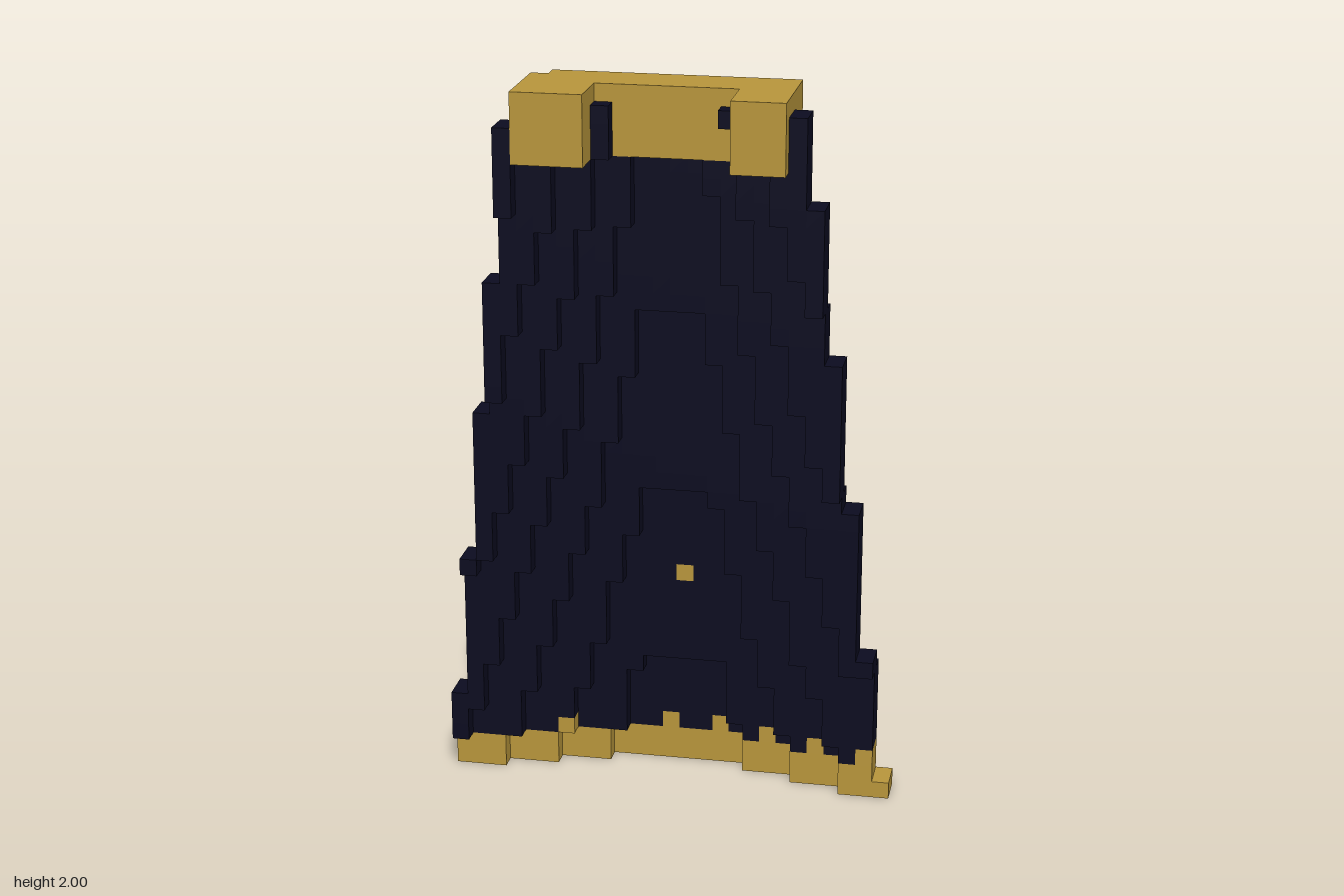
import * as THREE from 'three';

const V = 2 / 42; // size of one block

export function createModel() {
  const navy = new THREE.MeshStandardMaterial({ color: 0x0c0c20 });
  navy.name = 'navy cloth';
  const gold = new THREE.MeshStandardMaterial({ color: 0xb8963c });
  gold.name = 'gold trim';

  // Block grid: "x,y,z" -> part name
  const cells = new Map();
  const put = (x, y, z, part) => cells.set(`${x},${y},${z}`, part);
  const fill = (x0, x1, y0, y1, z0, z1, part) => {
    for (let x = x0; x < x1; x++)
      for (let y = y0; y < y1; y++)
        for (let z = z0; z < z1; z++) put(x, y, z, part);
  };

  // Back layer of the cloth: bowed across its width, leaning forward with height
  const layer = (x, y) => {
    const half = 13 - y / 7.8;
    const across = (Math.abs(x + 0.35) * 13) / half;
    const bow = Math.max(0, (across - 2.25) / 3);
    return Math.floor(Math.min(bow, x < 0 ? 3.46 : 2.95) + (y + 4) / 11);
  };

  // Cape two blocks thick, narrowing upwards, with a toothed gold hem
  const teeth = [-7, -1, 2, 5, 8, 11];
  for (let y = 0; y < 41; y++) {
    const left = -13 + Math.floor((y + 4.3) / 8.8);
    const right = y === 0 ? 13 : 12 - Math.floor(y / 9);
    for (let x = left; x < right; x++) {
      const z = layer(x, y);
      const isHem = y < 2 || (y === 2 && teeth.includes(x));
      fill(x, x + 1, y, y + 1, z, z + 2, isHem ? 'hem' : 'cape');
    }
  }

  // Gold studs, one on each face of the cloth
  put(0, 12, layer(0, 12) + 1, 'studs');
  put(0, 22, layer(0, 22), 'studs');

  // Rounded bundle of cloth behind the neck
  fill(-3, 3, 34, 40, 1, 3, 'backFold');
  fill(-4, 4, 35, 39, 1, 3, 'backFold');
  fill(-3, 3, 35, 39, 0, 1, 'backFold');
  fill(-2, 2, 35, 40, 0, 1, 'backFold');

  // U-shaped collar with one chipped corner
  fill(-8, 7, 38, 42, 3, 6, 'collar');
  fill(-8, -4, 38, 42, 6, 9, 'collar');
  fill(4, 7, 38, 42, 6, 9, 'collar');
  cells.delete('-8,41,3');

  // Each part gets only its exposed block faces
  const axes = [[1, 0, 0], [0, 1, 0], [0, 0, 1]];
  const buildPart = (part) => {
    const pos = [];
    const nor = [];
    for (const [key, name] of cells) {
      if (name !== part) continue;
      const c = key.split(',').map(Number);
      for (let a = 0; a < 3; a++) {
        for (const s of [1, -1]) {
          const n = axes[a].map((v) => v * s);
          if (cells.has(c.map((v, i) => v + n[i]).join())) continue;
          const u = axes[(a + 1) % 3];
          const w = axes[(a + 2) % 3];
          const corner = (p, q) =>
            c.map((v, i) => v + 0.5 + 0.5 * (n[i] + p * u[i] + q * s * w[i]));
          const quad = [corner(-1, -1), corner(1, -1), corner(1, 1), corner(-1, 1)];
          for (const k of [0, 1, 2, 0, 2, 3]) {
            const [x, y, z] = quad[k];
            pos.push(x * V, y * V, (z - 4.5) * V);
            nor.push(...n);
          }
        }
      }
    }
    const geo = new THREE.BufferGeometry();
    geo.setAttribute('position', new THREE.Float32BufferAttribute(pos, 3));
    geo.setAttribute('normal', new THREE.Float32BufferAttribute(nor, 3));
    return geo;
  };

  const group = new THREE.Group();
  group.name = 'cape';
  const parts = { cape: navy, backFold: navy, hem: gold, studs: gold, collar: gold };
  for (const [name, material] of Object.entries(parts)) {
    const mesh = new THREE.Mesh(buildPart(name), material);
    mesh.name = name;
    group.add(mesh);
  }
  return group;
}
